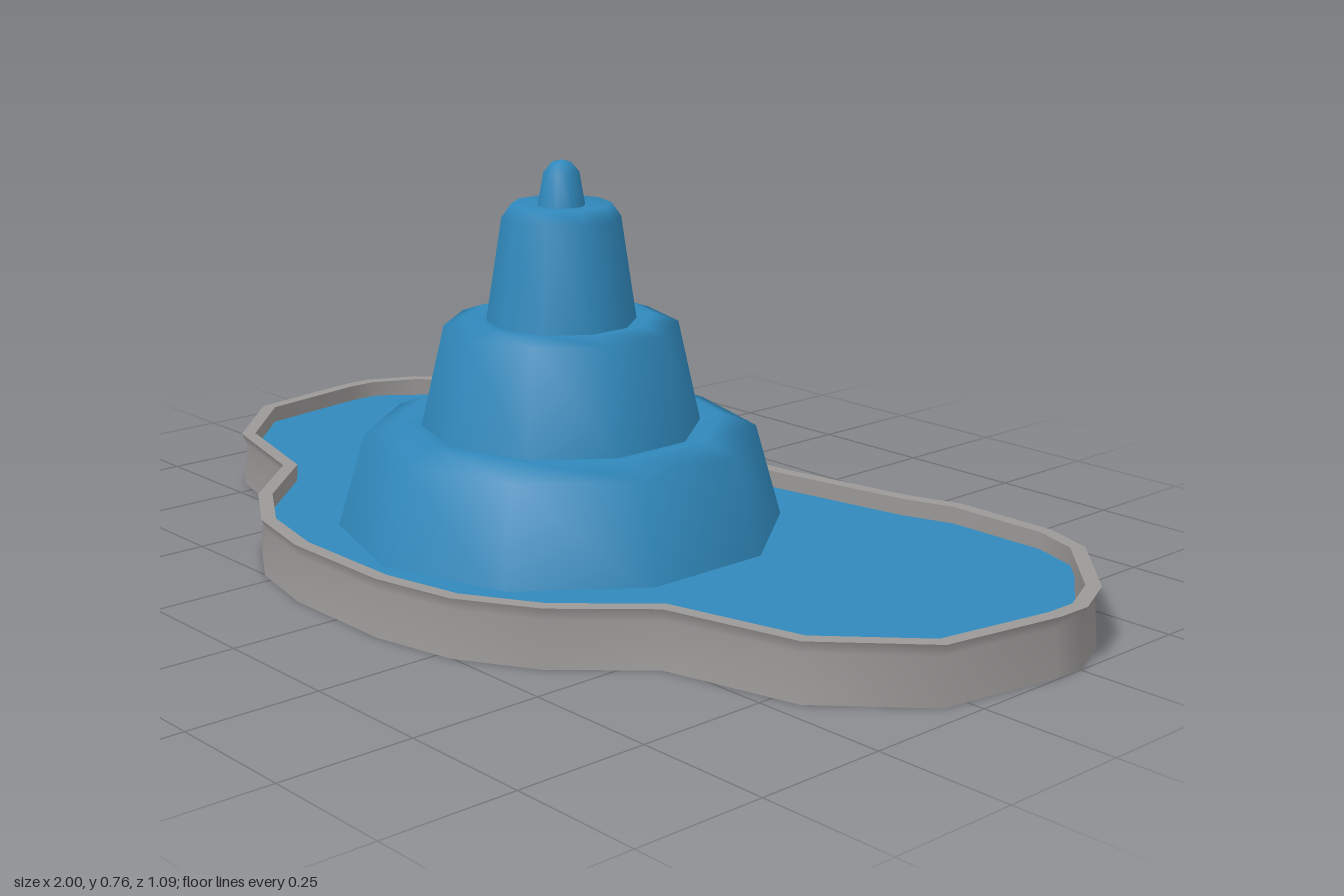
import * as THREE from 'three';

const stone = new THREE.MeshStandardMaterial({ color: 0x9b9998, side: THREE.DoubleSide });
stone.name = 'stone grey';
const blue = new THREE.MeshStandardMaterial({ color: 0x3088bb, side: THREE.DoubleSide });
blue.name = 'water blue';

// Right half of the pond outline as [x, z], from back to front
const half = [
  [0.13, -0.46], [0.4, -0.51], [0.5, -0.545], [0.71, -0.545], [0.81, -0.51],
  [0.955, -0.36], [1.0, -0.26], [1.0, -0.19], [0.96, 0.05], [0.8, 0.21],
  [0.55, 0.275], [0.42, 0.42], [0.28, 0.505], [0.12, 0.54],
];
const mirror = (pts) => [[0, -0.447], ...pts, ...pts.map(([x, z]) => [-x, z]).reverse()];
const outline = mirror(half);

// Moves a closed outline inwards by d, with mitred corners
function inset(pts, d) {
  const n = pts.length;
  const normal = (a, b) => new THREE.Vector2(b[1] - a[1], a[0] - b[0]).normalize();
  return pts.map((p, i) => {
    const n1 = normal(pts[(i + n - 1) % n], p);
    const n2 = normal(p, pts[(i + 1) % n]);
    const m = n1.clone().add(n2).normalize();
    const k = d / m.dot(n1);
    return [p[0] - m.x * k, p[1] - m.y * k];
  });
}

// Band round the pond through several [inset, y] levels, smooth along its length
function band(levels) {
  const n = outline.length;
  const pos = [];
  const index = [];
  levels.forEach(([d, y]) => inset(outline, d).forEach(([x, z]) => pos.push(x, y, z)));
  for (let l = 0; l < levels.length - 1; l++) {
    for (let i = 0; i < n; i++) {
      const j = (i + 1) % n;
      const a = l * n + i, b = l * n + j, c = a + n, d = b + n;
      index.push(a, c, b, b, c, d);
    }
  }
  const g = new THREE.BufferGeometry();
  g.setAttribute('position', new THREE.Float32BufferAttribute(pos, 3));
  g.setIndex(index);
  g.computeVertexNormals();
  return g;
}

function add(parent, name, geometry, material) {
  const mesh = new THREE.Mesh(geometry, material);
  mesh.name = name;
  parent.add(mesh);
  return mesh;
}

export function createModel() {
  const model = new THREE.Group();
  model.name = 'fountain';

  // Pond wall: flared outer face, flat rim, inner face and underside
  const wall = new THREE.Group();
  wall.name = 'pondWall';
  model.add(wall);
  add(wall, 'wallOuter', band([[0.003, 0], [0.01, 0.085], [0, 0.108]]), stone);
  add(wall, 'wallRim', band([[0, 0.108], [0.027, 0.108]]), stone);
  add(wall, 'wallInner', band([[0.027, 0.108], [0.022, 0]]), stone);
  add(wall, 'wallUnderside', band([[0.022, 0], [0.003, 0]]), stone);

  // Pond water, cutting across the two sharpest bends on each side
  const edge = inset(mirror(half.filter((p, i) => i !== 5 && i !== 7)), 0.018);
  const shape = new THREE.Shape(edge.map(([x, z]) => new THREE.Vector2(x, -z)));
  add(model, 'pondWater', new THREE.ShapeGeometry(shape).rotateX(-Math.PI / 2), blue).position.y = 0.075;

  // Three falling tiers and the spout, turned as ten-sided skirts
  const tiers = [
    ['lowerCascade', [[0.424, 0.055], [0.368, 0.25], [0.305, 0.275], [0.25, 0.262]]],
    ['middleCascade', [[0.262, 0.262], [0.218, 0.455], [0.175, 0.47], [0.13, 0.46]]],
    ['upperCascade', [[0.14, 0.46], [0.11, 0.655], [0.092, 0.68], [0.04, 0.676]]],
    ['spout', [[0.045, 0.67], [0.033, 0.737], [0.018, 0.755], [0, 0.76]]],
  ];
  for (const [name, profile] of tiers) {
    const pts = profile.map(([r, y]) => new THREE.Vector2(r, y));
    add(model, name, new THREE.LatheGeometry(pts, 10), blue).position.z = 0.017;
  }

  // Tapered inlet pipe under the water
  const inlet = new THREE.CylinderGeometry(0.1, 0.06, 0.06, 8, 1, true);
  add(model, 'inletPipe', inlet, stone).position.set(0, 0.045, 0.017);

  return model;
}
